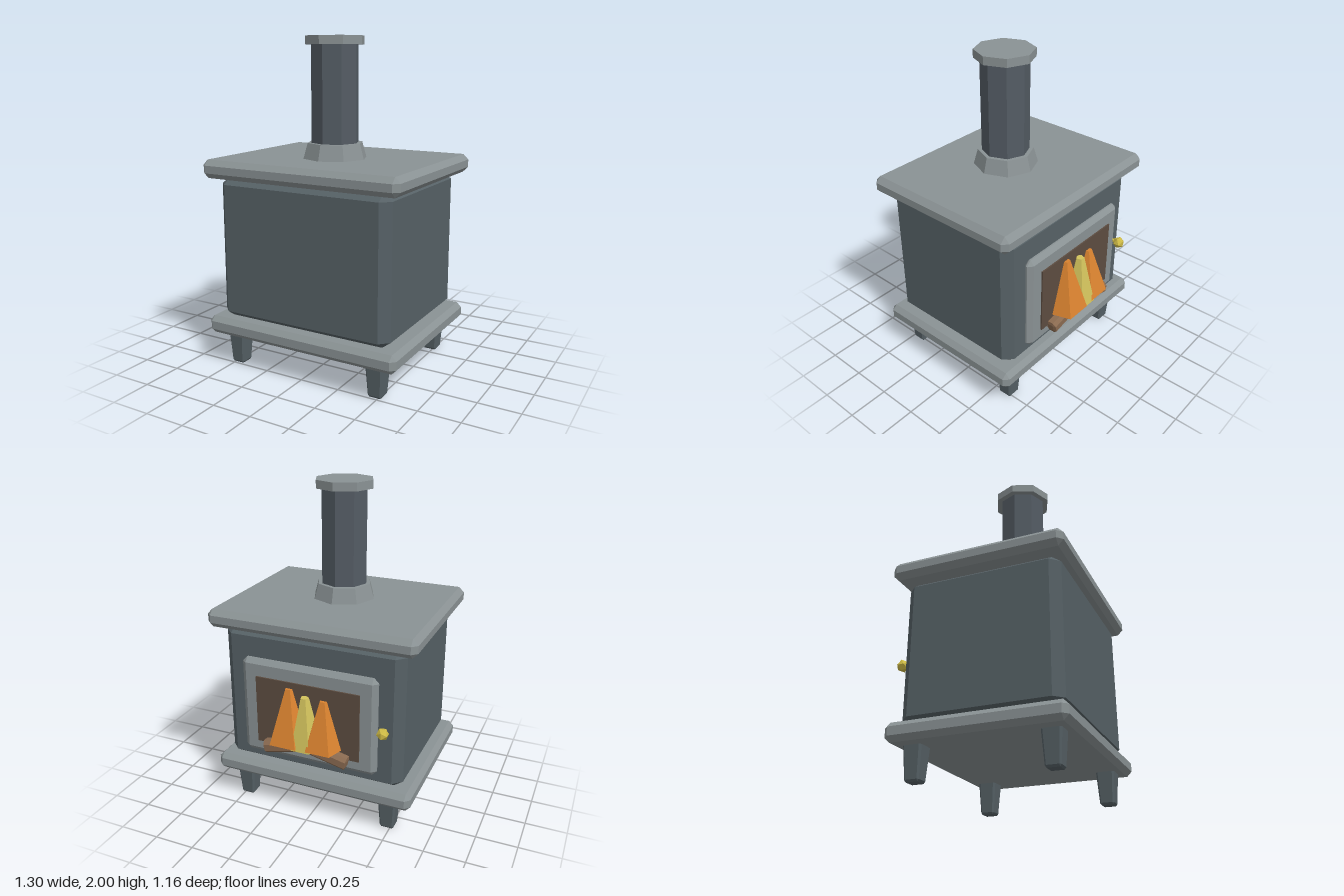
import * as THREE from 'three';
import { ConvexGeometry } from 'three/addons/geometries/ConvexGeometry.js';

const paint = (name, color) => {
  const m = new THREE.MeshStandardMaterial({ color, flatShading: true });
  m.name = name;
  return m;
};

// Box with chamfered edges; bx, by, bz are the bevel sizes and taper scales the lower end.
function chamferBox(w, h, d, bx, by = bx, bz = bx, taper = 1) {
  const pts = [];
  for (const sx of [-1, 1]) for (const sy of [-1, 1]) for (const sz of [-1, 1]) {
    const [x, y, z] = [w / 2, h / 2, d / 2];
    for (const p of [[x, y - by, z - bz], [x - bx, y, z - bz], [x - bx, y - by, z]]) {
      const k = sy < 0 ? taper : 1;
      pts.push(new THREE.Vector3(p[0] * sx * k, p[1] * sy, p[2] * sz * k));
    }
  }
  return new ConvexGeometry(pts);
}

export function createModel() {
  const group = new THREE.Group();
  group.name = 'stove';
  const trim = paint('light iron', 0x8a9294);
  const iron = paint('dark iron', 0x566166);
  const pipeIron = paint('pipe iron', 0x545c64);
  const glass = paint('smoky glass', 0x5c4c40);
  const wood = paint('log wood', 0x8a6a50);
  const orange = paint('flame orange', 0xd9822f);
  const yellow = paint('flame yellow', 0xd2c25c);
  const gold = paint('knob gold', 0xcdb945);

  const add = (name, geometry, material, x, y, z) => {
    const mesh = new THREE.Mesh(geometry, material);
    mesh.name = name;
    mesh.position.set(x, y, z);
    group.add(mesh);
    return mesh;
  };

  // Cabinet with its base and top plates
  add('basePlate', chamferBox(1.28, 0.11, 1.03, 0.03), trim, 0, 0.25, 0.055);
  add('body', chamferBox(1.14, 0.87, 0.94, 0.055, 0.04, 0.055), iron, 0, 0.738, 0.055);
  add('topPlate', chamferBox(1.3, 0.112, 1.05, 0.033), trim, 0, 1.225, 0.052);

  // Four tapered legs
  for (const x of [-0.48, 0.48]) for (const z of [0.447, -0.337]) {
    add('leg', chamferBox(0.115, 0.22, 0.115, 0.012, 0.012, 0.012, 0.76), iron, x, 0.11, z);
  }

  // Eight-sided chimney
  const ring = (name, top, bottom, y0, y1, material) =>
    add(name, new THREE.CylinderGeometry(top, bottom, y1 - y0, 8), material, 0, (y0 + y1) / 2, 0.098);
  ring('chimneyCollar', 0.17, 0.198, 1.275, 1.375, trim);
  ring('chimneyPipe', 0.145, 0.145, 1.36, 1.96, pipeIron);
  ring('chimneyCap', 0.18, 0.18, 1.95, 2, trim);

  // Door on the back face
  add('doorFrame', chamferBox(0.86, 0.62, 0.06, 0.03, 0.03, 0.025), trim, 0, 0.7, -0.43);
  add('doorGlass', new THREE.BoxGeometry(0.66, 0.43, 0.009), glass, 0, 0.69, -0.4645);
  add('doorKnob', new THREE.IcosahedronGeometry(0.038, 0), gold, -0.47, 0.69, -0.463);
  add('knobStem', new THREE.CylinderGeometry(0.012, 0.012, 0.06, 6), gold, -0.47, 0.69, -0.435)
    .rotation.x = Math.PI / 2;

  // Two logs leaning together
  for (const s of [-1, 1]) {
    add('log', chamferBox(0.3, 0.08, 0.075, 0.005, 0.02, 0.02), wood, s * 0.12, 0.5, -0.4885)
      .rotation.z = -s * 0.23;
  }

  // Five-sided flames: x, z, radius, bottom, top
  for (const [x, z, r, y0, y1, material] of [
    [-0.11, -0.467, 0.13, 0.53, 0.83, orange],
    [0, -0.49, 0.1, 0.52, 0.84, yellow],
    [0.11, -0.466, 0.14, 0.53, 0.868, orange],
  ]) {
    add('flame', new THREE.CylinderGeometry(0.026, r, y1 - y0, 5), material, x, (y0 + y1) / 2, z);
  }
  return group;
}
